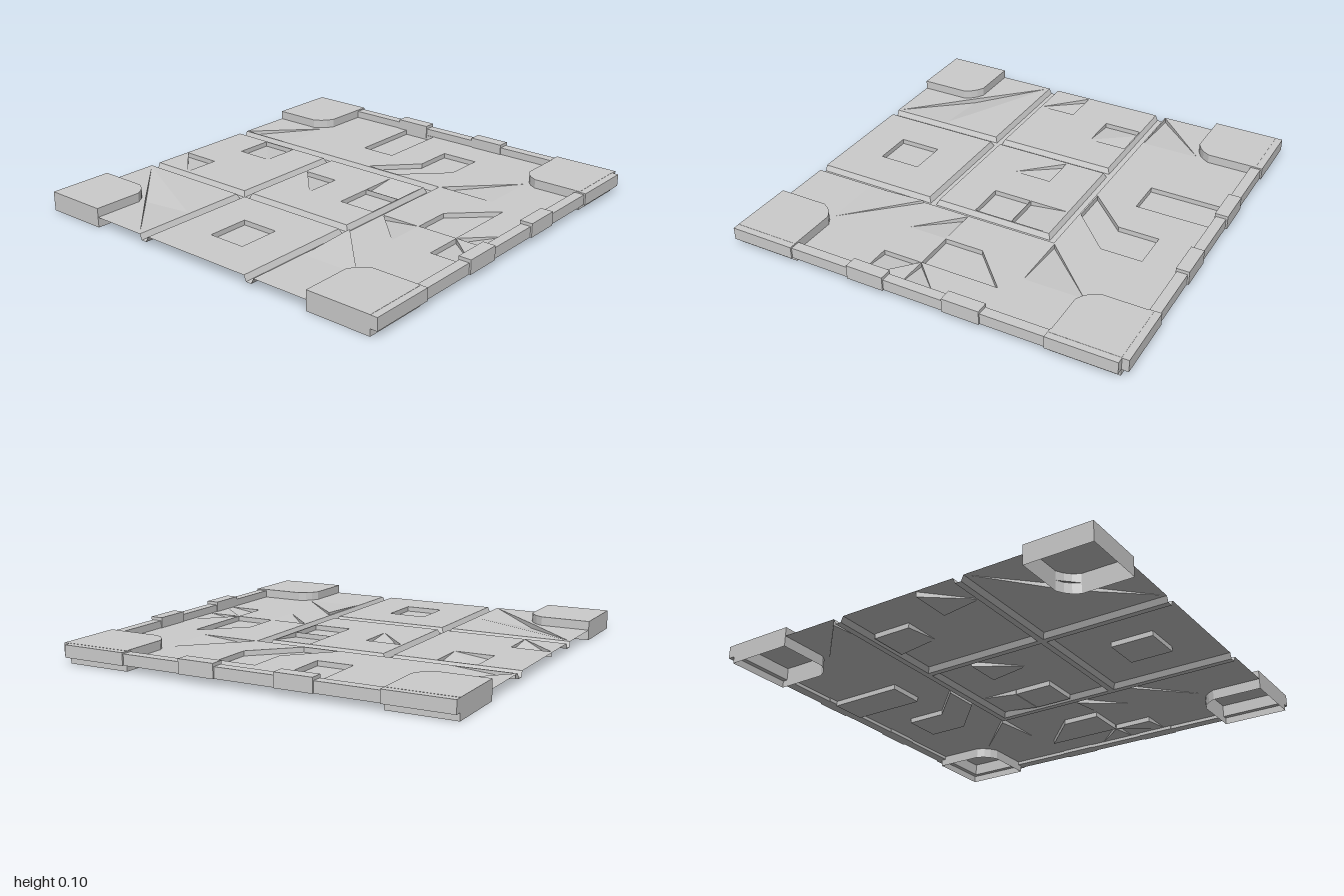
import * as THREE from 'three';

const FLOOR = 0.052, GROOVE = 0.024, DEEP = 0.025;
const mat = new THREE.MeshStandardMaterial({ color: 0xcccccc, flatShading: true, side: THREE.DoubleSide });

function add(group, name, geo) {
  const mesh = new THREE.Mesh(geo, mat);
  mesh.name = name;
  group.add(mesh);
  return mesh;
}

// Outlines are lists of [x, z].
const toVec = pts => pts.map(([x, z]) => new THREE.Vector2(x, -z));

function plate(pts, y, holes = []) {
  const shape = new THREE.Shape(toVec(pts));
  holes.forEach(h => shape.holes.push(new THREE.Path(toVec(h))));
  return new THREE.ShapeGeometry(shape).rotateX(-Math.PI / 2).translate(0, y, 0);
}

// Band of quads between two matching loops of [x, y, z]; open when closed is false.
function band(a, b, closed = true) {
  const pos = [], n = a.length;
  for (let i = 0; i < (closed ? n : n - 1); i++) {
    const j = (i + 1) % n;
    pos.push(...a[i], ...b[i], ...b[j], ...a[i], ...b[j], ...a[j]);
  }
  const geo = new THREE.BufferGeometry();
  geo.setAttribute('position', new THREE.Float32BufferAttribute(pos, 3));
  geo.computeVertexNormals();
  return geo;
}

const rect = (x0, z0, x1, z1) => [[x0, z0], [x1, z0], [x1, z1], [x0, z1]];

// Pull an outline slightly inward so neighbours never touch.
function shrink(pts) {
  const cx = pts.reduce((s, p) => s + p[0], 0) / pts.length;
  const cz = pts.reduce((s, p) => s + p[1], 0) / pts.length;
  return pts.map(([x, z]) => [cx + (x - cx) * 0.985, cz + (z - cz) * 0.985]);
}

// Panel with sunken patches; drops gives each patch corner its depth.
function panel(group, name, outline, patches) {
  const holes = patches.map(p => shrink(p.pts));
  add(group, name, plate(outline, FLOOR, holes));
  patches.forEach(({ drops }, k) => {
    const pts = holes[k];
    const depth = i => (drops ? drops[i] : DEEP);
    const top = pts.map(([x, z]) => [x, FLOOR, z]);
    const low = pts.map(([x, z], i) => [x, FLOOR - depth(i), z]);
    add(group, 'patchWall', band(top, low));
    const geo = plate(pts, 0);
    const pos = geo.attributes.position;
    for (let i = 0; i < pos.count; i++) {
      const c = pts.findIndex(([x, z]) => Math.hypot(x - pos.getX(i), z - pos.getZ(i)) < 1e-4);
      pos.setY(i, low[c][1]);
    }
    geo.computeVertexNormals();
    add(group, 'patchFloor', geo);
  });
}

export function createModel() {
  const model = new THREE.Group();
  const D = DEEP;

  // Four square tiles on the grooved side
  panel(model, 'cornerTile',
    [[-1, -0.67], [-0.75, -0.67], [-0.67, -0.75], [-0.67, -1], [-0.375, -1], [-0.375, -0.375], [-1, -0.375]],
    [{ pts: [[-0.99, -0.385], [-0.69, -0.69], [-0.385, -0.99], [-0.69, -0.385]], drops: [0, D, 0, 0] }]);
  panel(model, 'backTile', rect(-0.32, -1, 0.285, -0.375), [
    { pts: [[-0.315, -0.79], [-0.12, -0.995], [-0.12, -0.79]], drops: [0, D, D] },
    { pts: rect(0.08, -0.79, 0.28, -0.59), drops: [D, D, D, 0] },
  ]);
  panel(model, 'sideTile', rect(-1, -0.32, -0.375, 0.285), [{ pts: rect(-0.8, -0.12, -0.58, 0.08) }]);
  panel(model, 'middleTile', rect(-0.32, -0.32, 0.285, 0.285), [
    { pts: [[-0.12, -0.12], [0.08, -0.31], [0.08, -0.12]], drops: [0, D, D] },
    { pts: rect(-0.12, 0.08, 0.08, 0.28) },
    { pts: rect(0.08, 0.08, 0.28, 0.28), drops: [D, 0, 0, D] },
  ]);

  // L-shaped panel along the front and left
  panel(model, 'outerPanel',
    [[0.34, -1], [0.635, -1], [0.635, -0.75], [0.715, -0.67], [0.945, -0.67], [0.945, 0.635],
      [0.715, 0.635], [0.635, 0.715], [0.635, 0.945], [-0.67, 0.945], [-0.67, 0.715],
      [-0.75, 0.635], [-1, 0.635], [-1, 0.34], [0.34, 0.34]],
    [
      { pts: [[0.345, -0.995], [0.65, -0.69], [0.345, -0.69]], drops: [D, 0, 0] },
      { pts: rect(0.55, -0.31, 0.94, -0.12) },
      { pts: [[0.345, -0.12], [0.55, 0.08], [0.76, 0.08], [0.76, 0.28], [0.55, 0.28], [0.345, 0.07]] },
      { pts: [[-0.69, 0.345], [-0.37, 0.345], [-0.69, 0.65]], drops: [0, -0.015, 0] },
      { pts: [[-0.12, 0.345], [-0.32, 0.55], [-0.12, 0.55]], drops: [D, 0, 0] },
      { pts: [[-0.12, 0.55], [0.08, 0.55], [0.28, 0.76], [-0.12, 0.76]] },
      { pts: [[-0.32, 0.76], [-0.12, 0.76], [-0.28, 0.94], [-0.32, 0.94]], drops: [D, D, 0, 0] },
      { pts: [[-0.12, 0.76], [0.06, 0.94], [-0.12, 0.94]], drops: [D, 0, 0] },
      { pts: [[0.345, 0.345], [0.65, 0.65], [0.345, 0.65]], drops: [D, 0, 0] },
    ]);

  // Grooves: flat bed with sloped sides, one pair each way
  const s = 0.012;
  for (const [a, b] of [[-0.375, -0.32], [0.285, 0.34]]) {
    add(model, 'grooveBed', plate(rect(-1, a + s, 0.34 - s, b - s), GROOVE));
    add(model, 'grooveBed', plate(rect(a + s, -1, b - s, 0.34 - s), GROOVE));
  }
  const spans = [[-1, -0.375], [-0.32, 0.285]];
  for (const [c, dir] of [[-0.375, 1], [-0.32, -1], [0.285, 1], [0.34, -1]]) {
    const runs = c === 0.34 ? [[-1, 0.34]] : spans;
    for (const [p, q] of runs) {
      const e = c + dir * s;
      const p2 = p === -1 ? p : p - s, q2 = c === 0.34 ? q - s : q + s;
      add(model, 'grooveSide', band([[c, FLOOR, p], [c, FLOOR, q]], [[e, GROOVE, p2], [e, GROOVE, q2]], false));
      add(model, 'grooveSide', band([[p, FLOOR, c], [q, FLOOR, c]], [[p2, GROOVE, e], [q2, GROOVE, e]], false));
    }
  }

  // Raised hollow corner pads with a cut inner corner
  for (const [sx, sz] of [[-1, -1], [1, -1], [-1, 1], [1, 1]]) {
    const ox = sx < 0 ? -1 : 0.965, oz = sz < 0 ? -1 : 0.965;
    const ix = sx < 0 ? -0.67 : 0.635, iz = sz < 0 ? -0.67 : 0.635;
    const pts = [[ox, oz], [ix, oz], [ix, iz + sz * 0.08], [ix + sx * 0.02, iz + sz * 0.045],
      [ix + sx * 0.045, iz + sz * 0.02], [ix + sx * 0.08, iz], [ox, iz]];
    add(model, 'cornerPadTop', plate(pts, 0.097));
    add(model, 'cornerPadWall', band(pts.map(([x, z]) => [x, 0.097, z]), pts.map(([x, z]) => [x, 0, z])));
  }

  // Edge rims: start, end, inner face, outer face, top
  const rim = [
    [-1, -0.67, 0.94, 1, 0.096], [-0.67, -0.36, 0.94, 0.992, 0.089], [-0.36, -0.17, 0.935, 1, 0.105],
    [-0.17, 0.135, 0.94, 0.992, 0.089], [0.135, 0.32, 0.935, 1, 0.105],
    [0.32, 0.63, 0.94, 0.992, 0.089], [0.63, 0.967, 0.94, 1, 0.096],
  ];
  for (const [a, b, inner, outer, top] of rim) {
    const w = outer - inner, h = top - 0.035;
    const cy = 0.035 + h / 2, mid = (a + b) / 2, off = (inner + outer) / 2;
    add(model, 'frontRim', new THREE.BoxGeometry(b - a, h, w).translate(mid, cy, off));
    add(model, 'leftRim', new THREE.BoxGeometry(w, h, b - a).translate(off, cy, mid));
  }
  return model;
}
